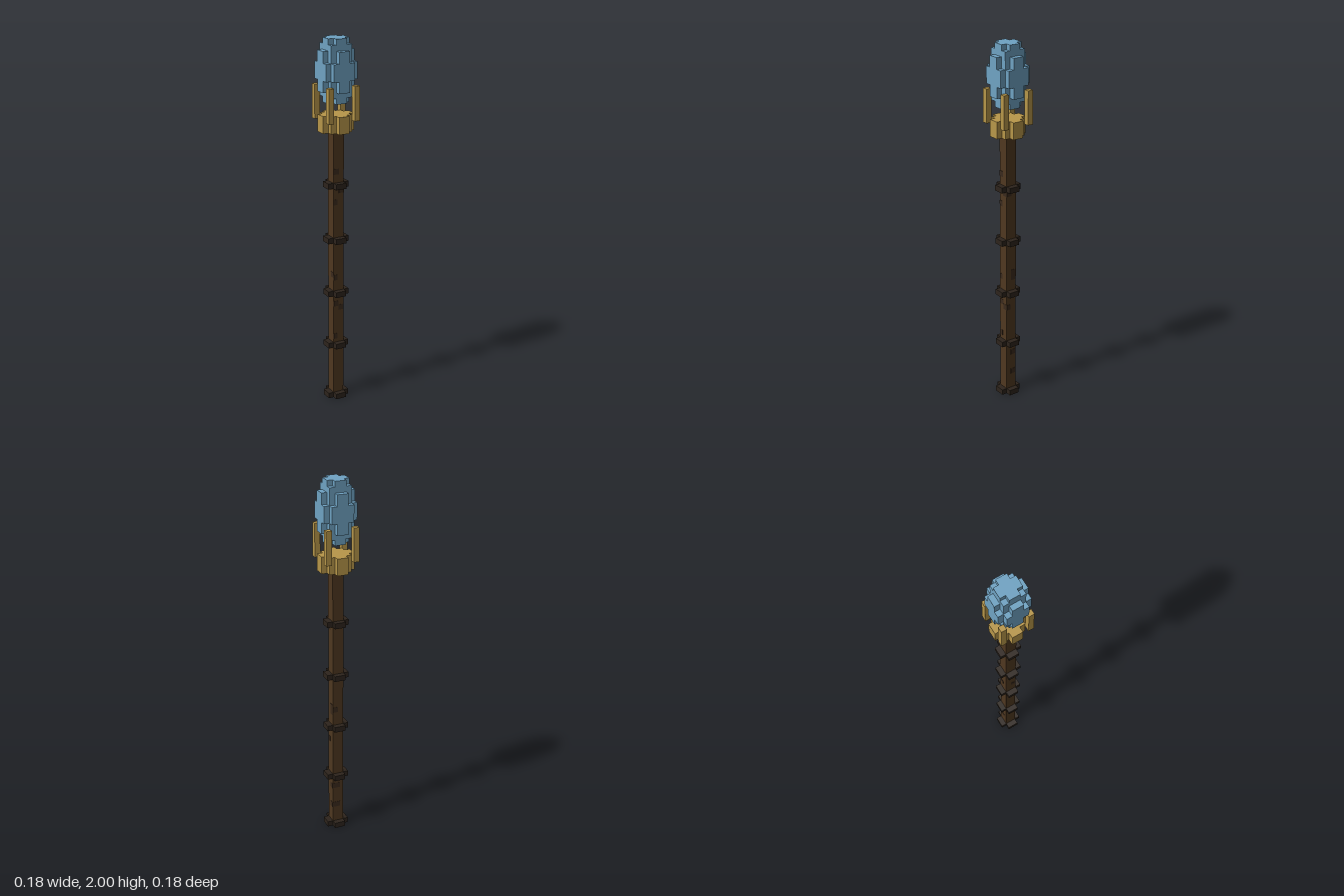
import * as THREE from 'three';

const V = 2 / 66; // one voxel

export function createModel() {
  const model = new THREE.Group();
  model.name = 'staff';

  const mat = (name, color) => {
    const m = new THREE.MeshStandardMaterial({ color });
    m.name = name;
    return m;
  };
  const wood = mat('brown wood', 0x4f3820);
  const darkWood = mat('dark wood', 0x3a2a1c);
  const iron = mat('dark iron', 0x2d241c);
  const gold = mat('gold', 0xb8974a);
  const blue = mat('blue crystal', 0x6fa3c3);

  const add = (parent, name, geometry, material) => {
    const mesh = new THREE.Mesh(geometry, material);
    mesh.name = name;
    parent.add(mesh);
    return mesh;
  };

  // Prism from y0 to y1 whose plan is a stepped quarter outline turned four times
  const steppedPrism = (corners, y0, y1) => {
    const quarter = [];
    corners.forEach(([x, y], i) => {
      quarter.push([x, y]);
      if (i + 1 < corners.length) quarter.push([corners[i + 1][0], y]);
    });
    const points = [];
    for (let k = 0; k < 4; k++) {
      for (const [x, y] of quarter) {
        const [px, py] = [[x, y], [-y, x], [-x, -y], [y, -x]][k];
        points.push(new THREE.Vector2(px * V, py * V));
      }
    }
    const g = new THREE.ExtrudeGeometry(new THREE.Shape(points), { depth: (y1 - y0) * V, bevelEnabled: false });
    return g.rotateX(-Math.PI / 2).translate(0, y0 * V, 0);
  };

  const square = [[2, 2]];
  const cross = [[2, 1], [1, 2]];
  const round = [[3, 1], [2, 2], [1, 3]];
  const wide = [[3, 2], [2, 3]];

  // Shaft
  add(model, 'shaft', new THREE.BoxGeometry(2 * V, 50 * V, 2 * V).translate(0, 25 * V, 0), wood);

  // Dark specks in the wood: side (quarter turns from the front), offset, height, width, length
  const specks = [
    [0, -0.5, 43, 1, 1], [0, 0.5, 39.6, 1, 1], [0, -0.6, 37.5, 0.8, 1], [0, -0.6, 23.5, 0.8, 1],
    [0, -0.5, 18.5, 1, 1], [0, 0.5, 17.7, 1, 1], [0, -0.6, 12.2, 0.8, 1],
    [1, -0.5, 39.6, 1, 1], [1, 0.4, 24, 1, 2], [1, -0.6, 17.7, 0.8, 1], [1, 0.4, 8.4, 1, 1], [1, 0.4, 4.4, 1, 1],
    [2, -0.5, 24, 1, 1], [2, -0.3, 8.5, 1.4, 1], [2, -0.3, 4.5, 1.4, 1],
    [3, 0.5, 24, 1, 1],
  ];
  const speckGroup = new THREE.Group();
  speckGroup.name = 'woodSpecks';
  model.add(speckGroup);
  for (const [side, u, y, w, h] of specks) {
    const g = new THREE.BoxGeometry(w * V, h * V, 0.002).translate(u * V, y * V, V);
    add(speckGroup, 'woodSpeck', g.rotateY(side * Math.PI / 2), darkWood);
  }

  // Cross-shaped bands along the shaft
  for (let i = 0; i < 5; i++) add(model, 'band', steppedPrism(cross, i * 10, i * 10 + 1), iron);

  // Gold socket with four corner prongs
  add(model, 'socket', steppedPrism(round, 50, 53), gold);
  for (const sx of [-1, 1]) {
    for (const sz of [-1, 1]) {
      add(model, 'prong', new THREE.BoxGeometry(V, 6 * V, V).translate(sx * 2.5 * V, 55 * V, sz * 2.5 * V), gold);
    }
  }

  // Floating crystal, stacked from stepped layers
  const crystal = new THREE.Group();
  crystal.name = 'crystal';
  model.add(crystal);
  const layers = [
    [cross, 55, 56], [square, 56, 57], [round, 57, 59], [wide, 59, 62],
    [round, 62, 64], [square, 64, 65], [cross, 65, 66],
  ];
  for (const [plan, y0, y1] of layers) add(crystal, 'crystalLayer', steppedPrism(plan, y0, y1), blue);

  return model;
}
